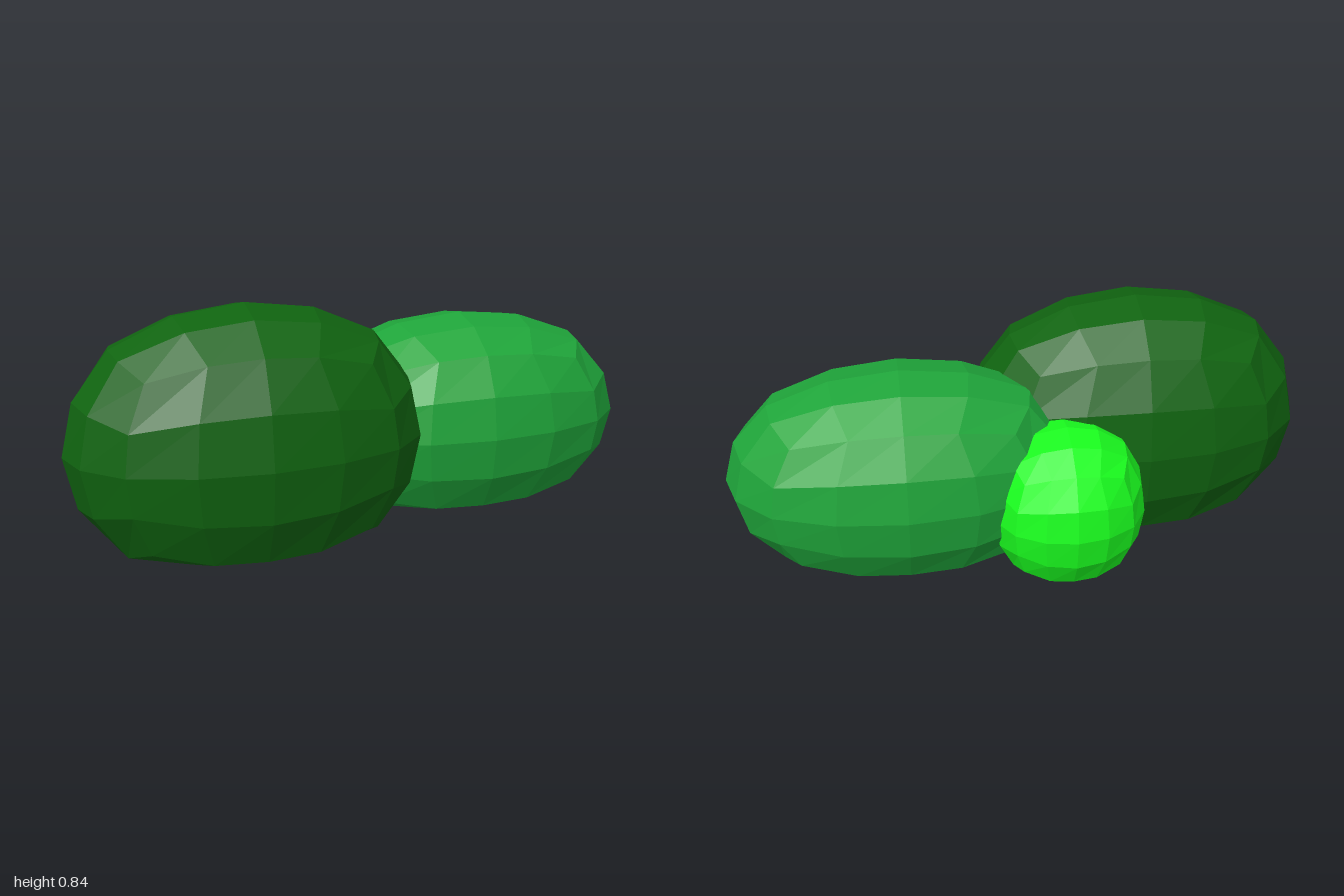
import * as THREE from 'three';

// Rounded cube blob: 4x4 facets per side, slightly boxy, with a flattened underside
function blobGeometry(rx, ry, rz) {
  const geo = new THREE.BoxGeometry(2, 2, 2, 4, 4, 4);
  const pos = geo.attributes.position;
  const p = new THREE.Vector3();
  const spread = (t) => Math.tan(t * Math.PI / 4);
  for (let i = 0; i < pos.count; i++) {
    p.fromBufferAttribute(pos, i);
    p.set(spread(p.x), spread(p.y), spread(p.z)).normalize();
    const m = Math.max(Math.abs(p.x), Math.abs(p.y), Math.abs(p.z));
    p.multiplyScalar(1 + 0.07 * (1 - m * m));
    if (p.y < -0.7) p.y = -0.7 + (p.y + 0.7) * 0.5;
    pos.setXYZ(i, p.x * rx, p.y * ry, p.z * rz);
  }
  geo.computeVertexNormals();
  return geo;
}

export function createModel() {
  const model = new THREE.Group();
  model.name = 'bushCluster';
  const bushes = [
    { name: 'largeBush', color: 0x106410, radii: [0.59, 0.453, 0.35], at: [-0.41, 0.386, 0.135] },
    { name: 'mediumBush', color: 0x1fa53a, radii: [0.59, 0.37, 0.345], at: [0.41, 0.34, -0.062] },
    { name: 'smallBush', color: 0x1aff1f, radii: [0.265, 0.28, 0.26], at: [-0.12, 0.27, -0.225] },
  ];
  for (const { name, color, radii, at } of bushes) {
    const mesh = new THREE.Mesh(
      blobGeometry(...radii),
      new THREE.MeshStandardMaterial({ color, flatShading: true })
    );
    mesh.name = name;
    mesh.position.set(...at);
    model.add(mesh);
  }
  return model;
}
